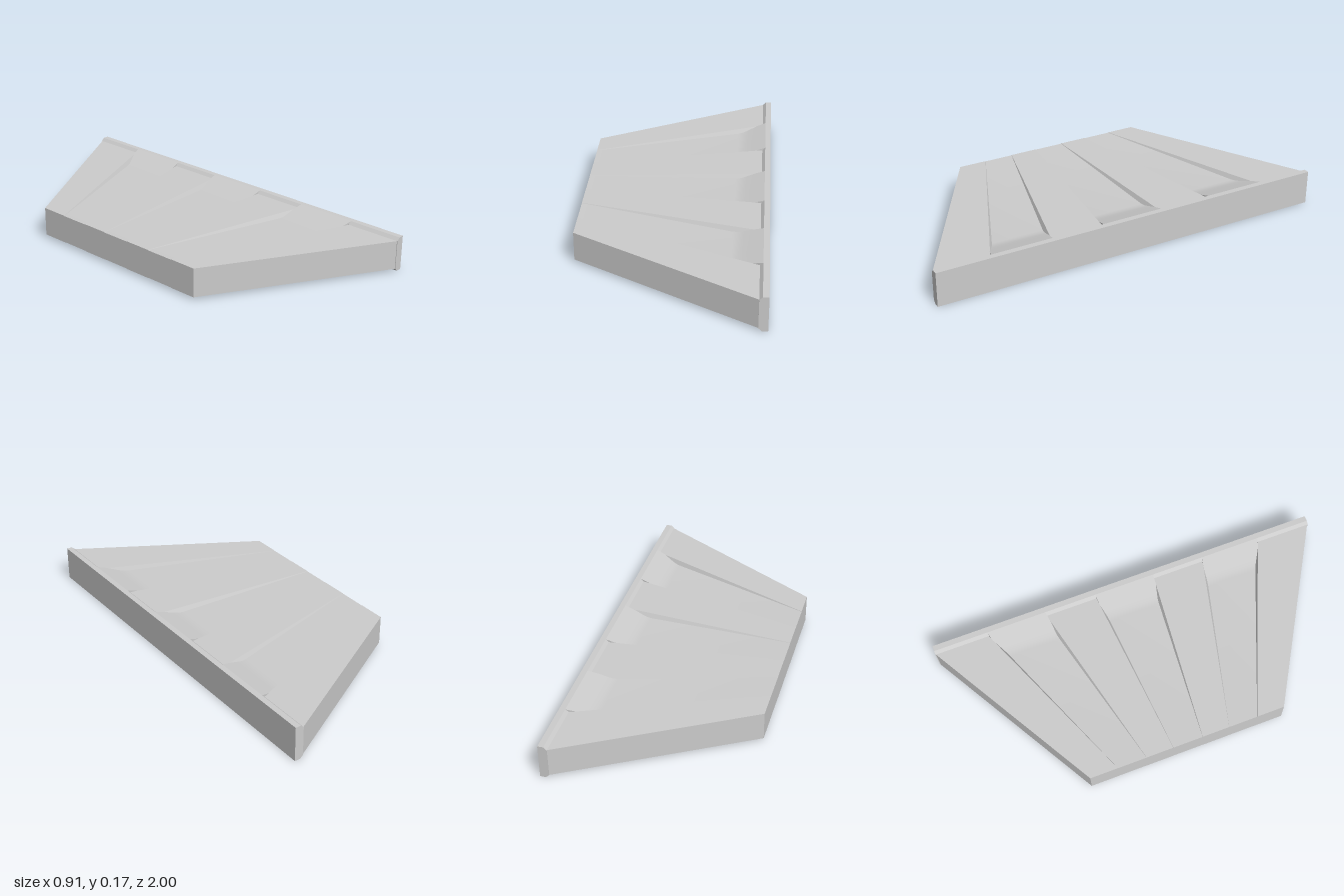
import * as THREE from 'three';
import { toCreasedNormals } from 'three/addons/utils/BufferGeometryUtils.js';

const MID = 0.0865;                 // mid height, top and underside mirror about it
const X0 = -0.453, X1 = 0.41;       // narrow end and start of the lip
// z of each seam at the narrow end and at the lip
const SEAMS = [[-0.5, -1], [-0.36, -0.725], [-0.213, -0.42], [-0.076, -0.155],
  [0.076, 0.155], [0.213, 0.42], [0.36, 0.725], [0.5, 1]];

const seamZ = (i, x) => THREE.MathUtils.lerp(SEAMS[i][0], SEAMS[i][1], Math.min(1, (x - X0) / (X1 - X0)));

// Closed solid with a six-sided section at every [x, halfHeight] station
function panelGeometry(i, stations, slopeA, slopeB) {
  const pos = [], index = [], n = 6;
  for (const [x, h] of stations) {
    const a = seamZ(i, x), b = seamZ(i + 1, x);
    const section = [[a, h], [b, h], [b + slopeB * h, 0], [b, -h], [a, -h], [a - slopeA * h, 0]];
    for (const [z, y] of section) pos.push(x, MID + y, z);
  }
  for (let s = 0; s < stations.length - 1; s++) {
    for (let k = 0; k < n; k++) {
      const p = s * n + k, q = s * n + (k + 1) % n;
      index.push(p, q, p + n, q, q + n, p + n);
    }
  }
  // end caps
  const last = (stations.length - 1) * n;
  for (let k = 1; k < n - 1; k++) {
    index.push(0, k + 1, k);
    index.push(last, last + k, last + k + 1);
  }
  const geo = new THREE.BufferGeometry();
  geo.setAttribute('position', new THREE.Float32BufferAttribute(pos, 3));
  geo.setIndex(index);
  return toCreasedNormals(geo, 0.35);
}

export function createModel() {
  const group = new THREE.Group();
  const material = new THREE.MeshStandardMaterial({ color: 0xcccccc });
  const add = (name, geometry) => {
    const mesh = new THREE.Mesh(geometry, material);
    mesh.name = name;
    group.add(mesh);
  };

  // Flat panels alternate with panels that sink, then sweep up into the lip
  const flat = [[X0, 0.072], [0.415, 0.072]];
  const sunken = [[X0, 0.0705], [0.28, 0.0495], [0.305, 0.0515], [0.335, 0.0595],
    [0.375, 0.0717], [0.425, 0.0865]];
  for (let i = 0; i < 7; i++) {
    if (i % 2) add('sunkenPanel' + i, panelGeometry(i, sunken, 0, 0));
    else add('flatPanel' + i, panelGeometry(i, flat, i > 0 ? 0.5 : 0, i < 6 ? 0.5 : 0));
  }

  // Thicker lip along the wide end, chamfered on its inner side
  const lip = new THREE.Shape([[X1, 0.0145], [0.425, 0], [0.453, 0], [0.453, 0.173],
    [0.425, 0.173], [X1, 0.1585]].map(([x, y]) => new THREE.Vector2(x, y)));
  const lipGeometry = new THREE.ExtrudeGeometry(lip, { depth: 2, bevelEnabled: false });
  lipGeometry.translate(0, 0, -1);
  add('lip', lipGeometry);
  return group;
}
